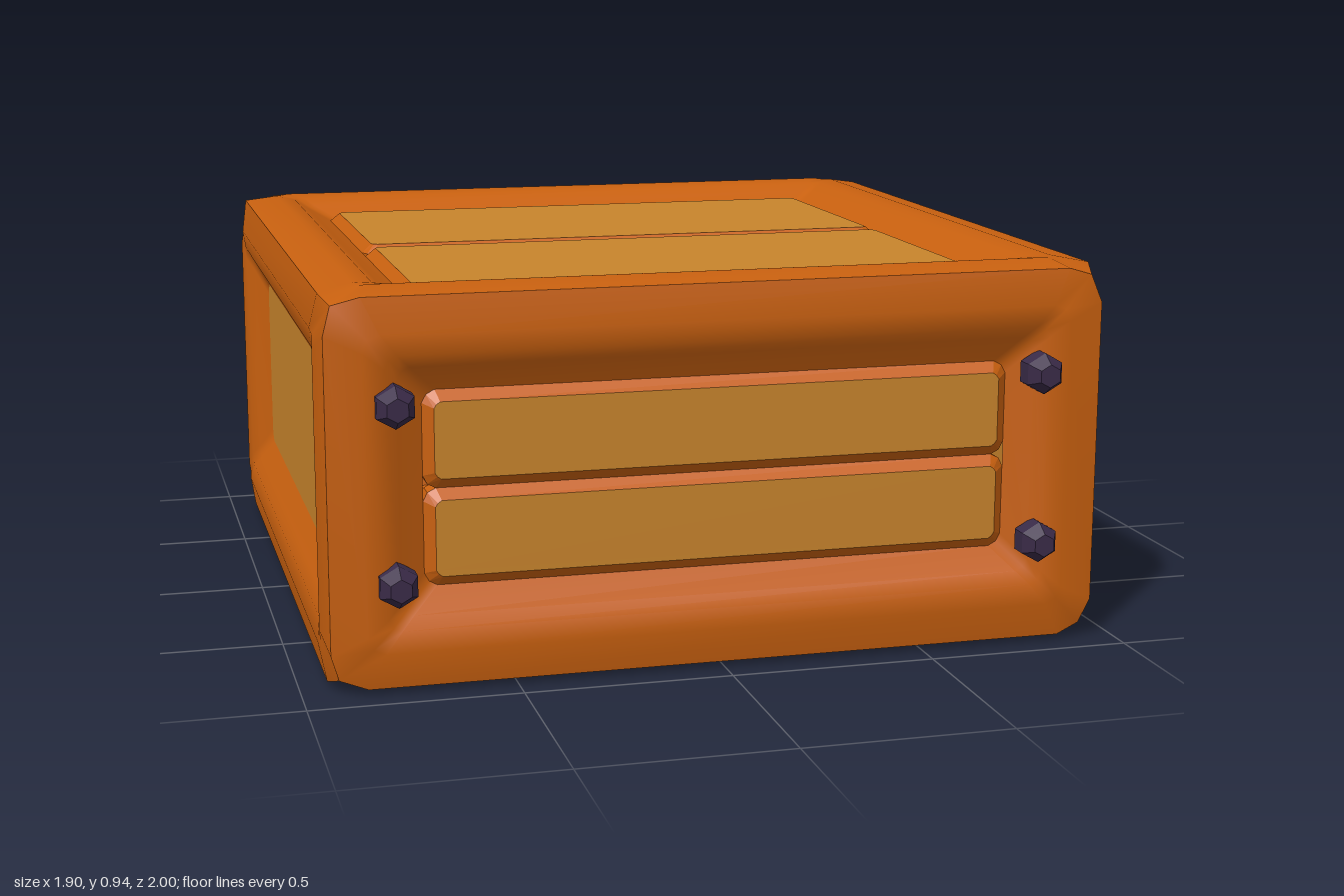
import * as THREE from 'three';

const X = 0.95, Y = 0.47, Z = 0.95; // half extents of the crate

const frameOrange = new THREE.MeshStandardMaterial({ color: 0xc8600f, side: THREE.DoubleSide });
frameOrange.name = 'frameOrange';
const panelTan = new THREE.MeshStandardMaterial({ color: 0xc8842c, side: THREE.DoubleSide });
panelTan.name = 'panelTan';
const boltPurple = new THREE.MeshStandardMaterial({ color: 0x3a2b48, flatShading: true });
boltPurple.name = 'boltPurple';

// Rectangular loop with three points per corner; the middle one is pulled in.
function loop(a, b, w, ch, pull, cornerW = w) {
  const pts = [];
  for (const [sx, sy] of [[1, 1], [-1, 1], [-1, -1], [1, -1]]) {
    const c = [
      [sx * a, sy * (b - ch), w],
      [sx * (a - pull), sy * (b - pull), cornerW],
      [sx * (a - ch), sy * b, w],
    ];
    if (sx * sy < 0) c.reverse();
    pts.push(...c);
  }
  return pts;
}

// Skin between successive loops, ordered from the outside in.
function skin(loops) {
  const n = loops[0].length, index = [];
  for (let k = 0; k < loops.length - 1; k++) {
    for (let i = 0; i < n; i++) {
      const a = k * n + i, b = k * n + (i + 1) % n;
      index.push(a, b, b + n, a, b + n, a + n);
    }
  }
  const g = new THREE.BufferGeometry();
  g.setAttribute('position', new THREE.Float32BufferAttribute(loops.flat(2), 3));
  g.setIndex(index);
  g.computeVertexNormals();
  return g;
}

// Flat sheet filling one loop.
function sheet(pts) {
  const shape = new THREE.Shape(pts.map(p => new THREE.Vector2(p[0], p[1])));
  return new THREE.ShapeGeometry(shape).translate(0, 0, pts[0][2]);
}

function addMesh(parent, name, geometry, material) {
  const m = new THREE.Mesh(geometry, material);
  m.name = name;
  parent.add(m);
  return m;
}

// Bevelled plank with an orange edge and a tan face.
function plank(a, b, w) {
  const g = new THREE.Group();
  g.name = 'plank';
  const loops = [
    loop(a, b, w - 0.05, 0.03, 0.01),
    loop(a, b, w, 0.03, 0.01),
    loop(a - 0.025, b - 0.025, w + 0.022, 0.015, 0.006),
  ];
  const edge = skin(loops).toNonIndexed();
  edge.computeVertexNormals();
  addMesh(g, 'plankEdge', edge, frameOrange);
  addMesh(g, 'plankFace', sheet(loops[2]), panelTan);
  return g;
}

// One side of the crate, facing +z: raised rim sloping into a recess.
function crateSide(name, A, B, C, planked) {
  const g = new THREE.Group();
  g.name = name;
  const inner = loop(A - 0.24, B - 0.24, C - 0.06, 0.03, 0.012);
  addMesh(g, 'frameRim', skin([
    loop(A - 0.015, B - 0.015, C - 0.015, 0.085, 0.02, C - 0.035),
    loop(A - 0.10, B - 0.10, C, 0.04, 0.012, C - 0.003),
    loop(A - 0.15, B - 0.15, C - 0.008, 0.03, 0.01),
    loop(A - 0.18, B - 0.18, C - 0.028, 0.03, 0.01),
    inner,
  ]), frameOrange);
  if (planked) {
    const half = (B - 0.24) / 2;
    for (const s of [-1, 1]) {
      const p = plank(A - 0.24, half, C - 0.06);
      p.position.y = s * half;
      g.add(p);
    }
  } else {
    addMesh(g, 'panel', sheet(inner), panelTan);
  }
  return g;
}

// Four hexagonal tapered bolts, placed at the recess corners.
function addBolts(side) {
  const profile = [[0, 0.92], [0.05, 0.92], [0.05, 0.965], [0.028, 1], [0, 1]];
  const geo = new THREE.LatheGeometry(profile.map(p => new THREE.Vector2(...p)), 6)
    .rotateX(Math.PI / 2);
  for (const x of [-0.78, 0.78]) {
    for (const y of [-0.208, 0.208]) {
      addMesh(side, 'bolt', geo, boltPurple).position.set(x, y, 0);
    }
  }
}

export function createModel() {
  const model = new THREE.Group();
  model.name = 'crate';
  const H = Math.PI / 2;
  // name, half width, half height, distance, rotation x, rotation y, planked, bolted
  const sides = [
    ['front', X, Y, Z, 0, 0, true, true],
    ['back', X, Y, Z, 0, Math.PI, true, true],
    ['leftSide', Z, Y, X, 0, H, false, false],
    ['rightSide', Z, Y, X, 0, -H, false, false],
    ['top', X, Z, Y, -H, 0, true, false],
    ['bottom', X, Z, Y, H, 0, false, false],
  ];
  for (const [name, a, b, c, rx, ry, planked, bolted] of sides) {
    const side = crateSide(name, a, b, c, planked);
    if (bolted) addBolts(side);
    side.rotation.set(rx, ry, 0);
    side.position.y = Y;
    model.add(side);
  }
  return model;
}
